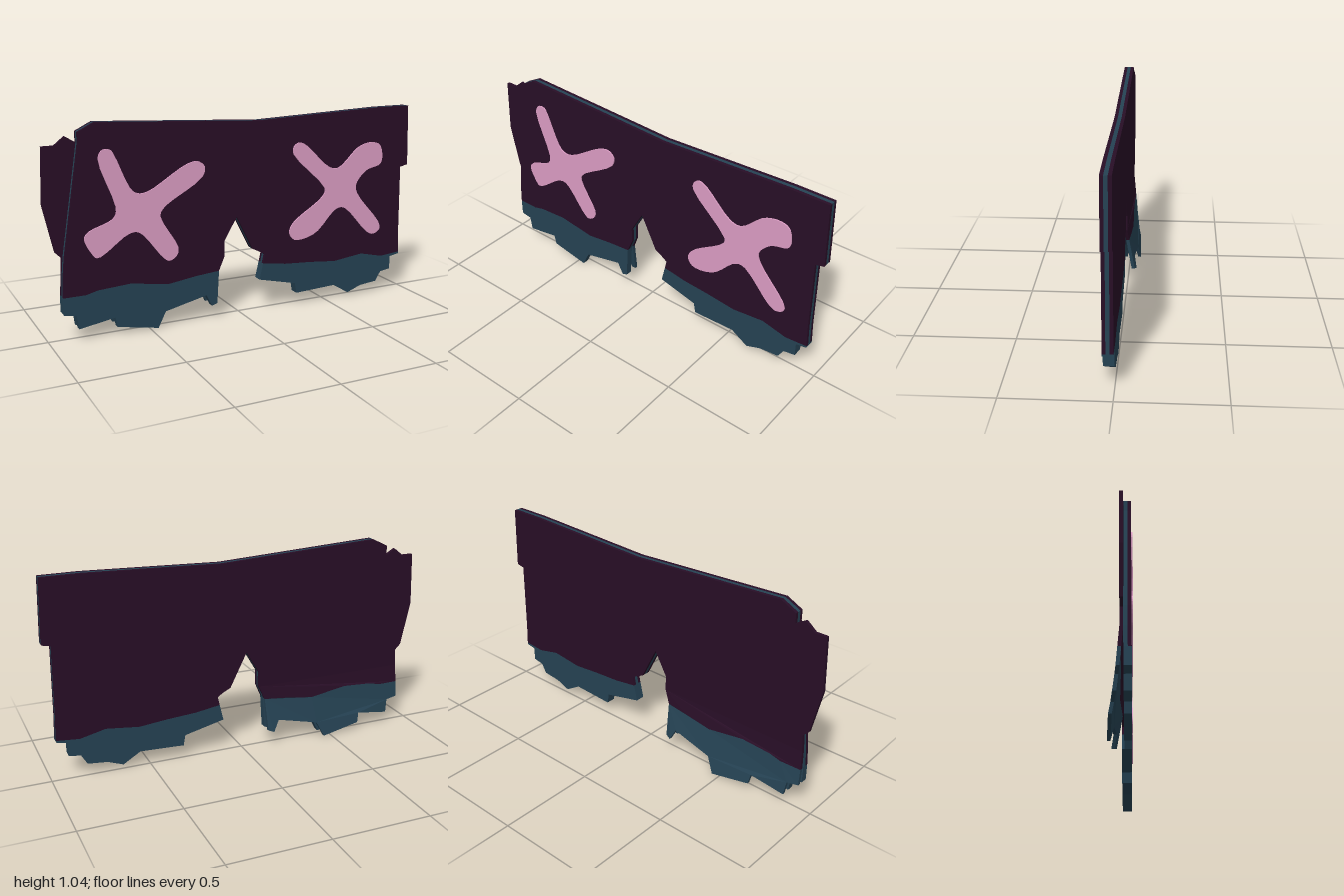
import * as THREE from 'three';

const cloth = new THREE.MeshStandardMaterial({ color: 0x280e26 });
cloth.name = 'dark plum cloth';
const trim = new THREE.MeshStandardMaterial({ color: 0x254253 });
trim.name = 'slate blue trim';
const pink = new THREE.MeshStandardMaterial({ color: 0xdb9cc3 });
pink.name = 'pink patch';

// Ragged outer edge: back layer and narrower front layer
const backSide = [[-0.925, 0.32], [-0.92, 0.41], [-0.95, 0.44], [-1, 0.67], [-0.99, 0.94], [-0.93, 0.94],
  [-0.88, 0.98], [-0.83, 0.95], [-0.83, 1.0]];
const frontSide = [[-0.925, 0.32], [-0.915, 0.42], [-0.87, 0.7], [-0.83, 0.95], [-0.83, 1.0]];

// Top edge, far side and central notch shared by every layer
const bodyRest = [[-0.75, 1.04], [0.1, 0.995], [0.8, 1.02], [0.99, 1.02], [1, 0.7], [0.955, 0.69], [0.96, 0.32],
  [0.1, 0.32], [0.06, 0.34], [-0.03, 0.52], [-0.1, 0.4], [-0.1, 0.32]];

// Wavy hem lines, where cloth meets trim
const rightHem = [[-0.13, 0.25], [-0.25, 0.24], [-0.4, 0.22], [-0.6, 0.25], [-0.76, 0.24], [-0.82, 0.225], [-0.93, 0.225]];
const leftHem = [[0.12, 0.255], [0.25, 0.235], [0.4, 0.225], [0.55, 0.21], [0.72, 0.23], [0.85, 0.2], [0.965, 0.21]];

// Torn lower edges of the trim
const rightTear = [[-0.93, 0.14], [-0.87, 0.13], [-0.86, 0.06], [-0.68, 0.09], [-0.67, 0.04], [-0.46, 0],
  [-0.42, 0.08], [-0.2, 0.13], [-0.17, 0.07], [-0.14, 0.08]];
const leftTear = [[0.965, 0.2], [0.91, 0.19], [0.91, 0.12], [0.85, 0.11], [0.82, 0.06], [0.72, 0.05], [0.64, 0.02],
  [0.55, 0.075], [0.32, 0.065], [0.31, 0.12], [0.1, 0.17]];

const rightBand = [[-0.925, 0.32], [-0.1, 0.32], ...rightHem];
const leftBand = [[0.96, 0.32], [0.1, 0.32], [0.13, 0.3], ...leftHem];

const rightCross = [[-0.74, 0.87], [-0.72, 0.91], [-0.68, 0.91], [-0.66, 0.88], [-0.58, 0.71], [-0.54, 0.69],
  [-0.49, 0.7], [-0.3, 0.81], [-0.24, 0.82], [-0.205, 0.79], [-0.22, 0.74], [-0.42, 0.61], [-0.44, 0.57],
  [-0.35, 0.4], [-0.36, 0.36], [-0.4, 0.34], [-0.43, 0.36], [-0.55, 0.5], [-0.6, 0.5], [-0.76, 0.4],
  [-0.79, 0.43], [-0.82, 0.5], [-0.8, 0.53], [-0.68, 0.58], [-0.66, 0.62]];
const leftCross = [[0.29, 0.81], [0.29, 0.85], [0.32, 0.87], [0.36, 0.855], [0.5, 0.73], [0.56, 0.72], [0.68, 0.82],
  [0.76, 0.84], [0.81, 0.825], [0.83, 0.77], [0.82, 0.72], [0.73, 0.69], [0.67, 0.62], [0.68, 0.57], [0.82, 0.4],
  [0.83, 0.36], [0.79, 0.335], [0.75, 0.35], [0.6, 0.5], [0.55, 0.5], [0.42, 0.38], [0.3, 0.36], [0.27, 0.4],
  [0.29, 0.45], [0.46, 0.57], [0.48, 0.61]];

// Backward kick of the lower right leg
function flare(x, y) {
  if (y >= 0.32 || x > -0.09) return 0;
  const width = x < -0.65 ? THREE.MathUtils.mapLinear(x, -0.93, -0.65, 0.45, 1)
    : THREE.MathUtils.clamp((-0.09 - x) / 0.06, 0, 1);
  return -0.06 * width * (0.32 - y) / 0.32;
}

function slab(name, points, material, z, depth, kick = 0) {
  const shape = new THREE.Shape(points.map(([x, y]) => new THREE.Vector2(x, y)));
  const geometry = new THREE.ExtrudeGeometry(shape, { depth, bevelEnabled: false });
  const p = geometry.attributes.position;
  for (let i = 0; i < p.count; i++) p.setZ(i, p.getZ(i) + z + kick * flare(p.getX(i), p.getY(i)));
  geometry.computeVertexNormals();
  const mesh = new THREE.Mesh(geometry, material);
  mesh.name = name;
  return mesh;
}

// One complete sheet: body, two leg bands and two torn trims
function layer(name, side, bodyMaterial, z, depth, kick) {
  const group = new THREE.Group();
  group.name = name;
  group.add(
    slab('body', [...side, ...bodyRest], bodyMaterial, z, depth, kick),
    slab('rightLegBand', rightBand, bodyMaterial, z, depth, kick),
    slab('leftLegBand', leftBand, bodyMaterial, z, depth, kick),
    slab('rightTrim', [...rightHem, ...rightTear], trim, z, depth, kick),
    slab('leftTrim', [...leftHem, ...leftTear], trim, z, depth, kick),
  );
  return group;
}

// Rounded cross outline smoothed through its control points
function cross(name, points) {
  const curve = new THREE.CatmullRomCurve3(points.map(([x, y]) => new THREE.Vector3(x, y, 0)), true, 'centripetal');
  const smooth = curve.getPoints(110).slice(0, -1).map((v) => [v.x, v.y]);
  return slab(name, smooth, pink, 0.049, 0.008);
}

export function createModel() {
  const model = new THREE.Group();
  model.name = 'raggedCloth';
  model.add(
    layer('backLayer', backSide, cloth, 0, 0.016, 1),
    layer('lining', frontSide, trim, 0.016, 0.018, 0),
    layer('frontLayer', frontSide, cloth, 0.034, 0.016, 0),
    cross('rightCrossPatch', rightCross),
    cross('leftCrossPatch', leftCross),
  );
  return model;
}
